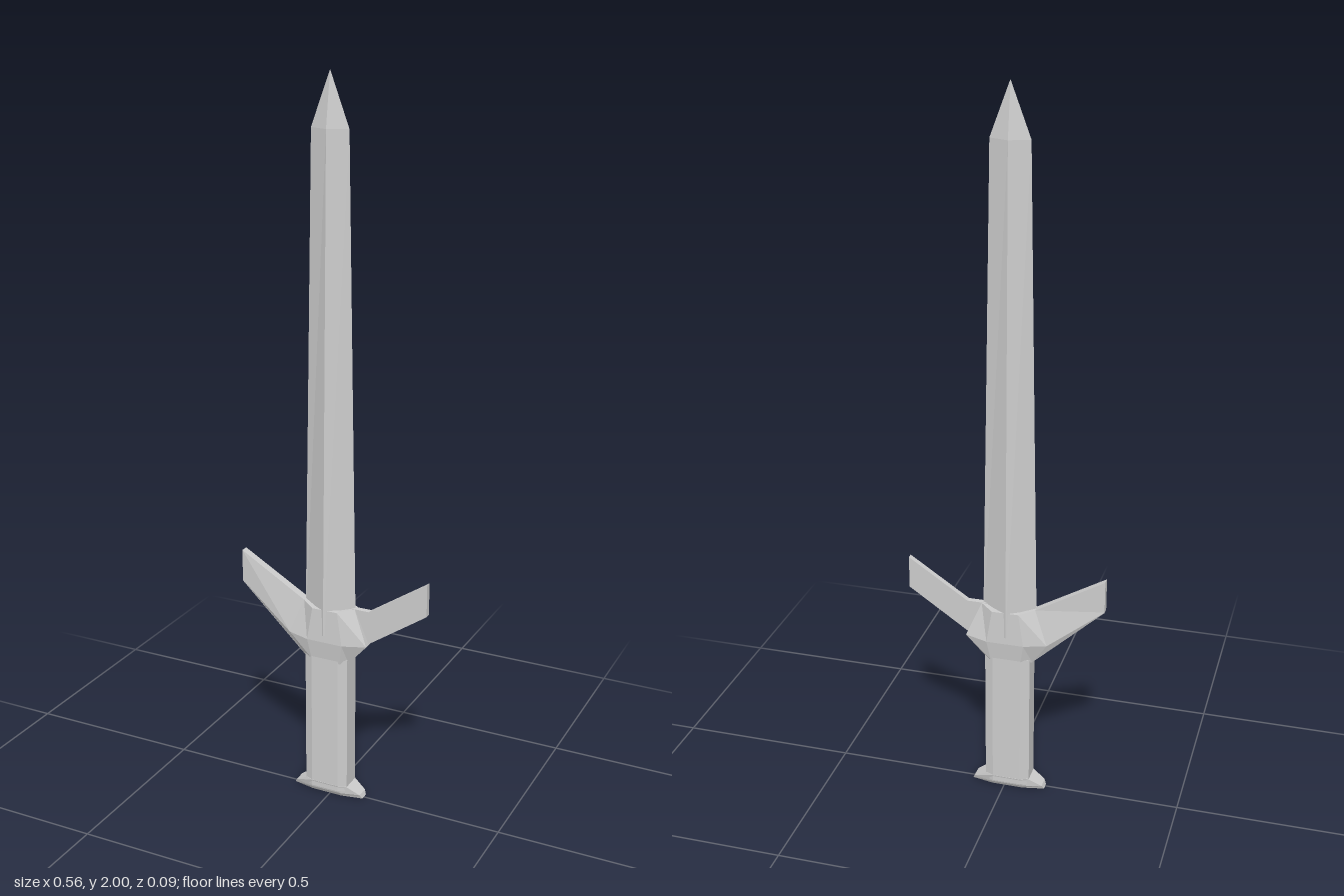
import * as THREE from 'three';

const material = new THREE.MeshStandardMaterial({ color: 0xcccccc, flatShading: true });
const CX = -0.01; // the sword's axis sits slightly off centre
const CZ = -0.002;

// Skins equal-sized rings of [x, y, z] points; both ends are closed by strips.
function loft(name, rings) {
  const n = rings[0].length;
  const pos = [];
  const quad = (a, b, c, d) => pos.push(...a, ...b, ...c, ...a, ...c, ...d);
  for (let r = 0; r < rings.length - 1; r++) {
    for (let i = 0; i < n; i++) {
      const j = (i + 1) % n;
      quad(rings[r][i], rings[r][j], rings[r + 1][j], rings[r + 1][i]);
    }
  }
  const first = rings[0], last = rings[rings.length - 1];
  for (let i = 0; i < n / 2 - 1; i++) {
    quad(last[i], last[i + 1], last[n - 2 - i], last[n - 1 - i]);
    quad(first[n - 1 - i], first[n - 2 - i], first[i + 1], first[i]);
  }
  const geometry = new THREE.BufferGeometry();
  geometry.setAttribute('position', new THREE.Float32BufferAttribute(pos, 3));
  geometry.computeVertexNormals();
  const mesh = new THREE.Mesh(geometry, material);
  mesh.name = name;
  return mesh;
}

// Horizontal diamond: half width w, half depth d.
const diamond = (y, w, d) => [
  [CX - w, y, CZ], [CX, y, CZ + d], [CX + w, y, CZ], [CX, y, CZ - d],
];

// Horizontal octagon: overall half width w and end depth e, flat half width f and depth d.
const octagon = (y, w, e, f, d) => [
  [-w, e], [-f, d], [f, d], [w, e], [w, -e], [f, -d], [-f, -d], [-w, -e],
].map(([x, z]) => [CX + x, y, CZ + z]);

// Upright section across the guard; rows run from top to bottom as [x, y, halfDepth].
const section = (...rows) => [
  ...rows.map(([x, y, z]) => [x, y, CZ + z]),
  ...rows.reverse().map(([x, y, z]) => [x, y, CZ - z]),
];

export function createModel() {
  const sword = new THREE.Group();
  sword.name = 'sword';

  // Tapering diamond blade with a short point
  sword.add(loft('blade', [
    diamond(0.5, 0.077, 0.047),
    diamond(1.86, 0.053, 0.023),
    diamond(2, 0.0005, 0.0005),
  ]));

  // Guard body, with the right wing tapering out of it
  sword.add(loft('guard', [
    section([-0.278, 0.692, 0.011], [-0.278, 0.602, 0.011], [-0.278, 0.6, 0.011]),
    section([-0.085, 0.58, 0.012], [-0.122, 0.482, 0.028], [-0.08, 0.42, 0.02]),
    section([-0.045, 0.575, 0.042], [-0.06, 0.48, 0.045], [-0.05, 0.42, 0.037]),
    section([0.03, 0.575, 0.042], [0.045, 0.48, 0.045], [0.035, 0.42, 0.037]),
    section([0.068, 0.58, 0.01], [0.11, 0.482, 0.025], [0.055, 0.42, 0.02]),
  ]));

  // Thin left wing set into the guard body
  sword.add(loft('leftWing', [
    section([0.05, 0.58, 0.008], [0.05, 0.46, 0.008]),
    section([0.11, 0.58, 0.008], [0.11, 0.485, 0.008]),
    section([0.278, 0.692, 0.008], [0.278, 0.6, 0.008]),
  ]));

  // Grip with chamfered corners
  sword.add(loft('grip', [
    octagon(0.02, 0.064, 0.027, 0.04, 0.038),
    octagon(0.43, 0.064, 0.027, 0.04, 0.038),
  ]));

  // Pommel flaring sideways to narrow tips
  sword.add(loft('pommel', [
    octagon(0, 0.106, 0.012, 0.045, 0.024),
    octagon(0.012, 0.1, 0.018, 0.045, 0.032),
    octagon(0.037, 0.06, 0.03, 0.04, 0.039),
  ]));

  return sword;
}
